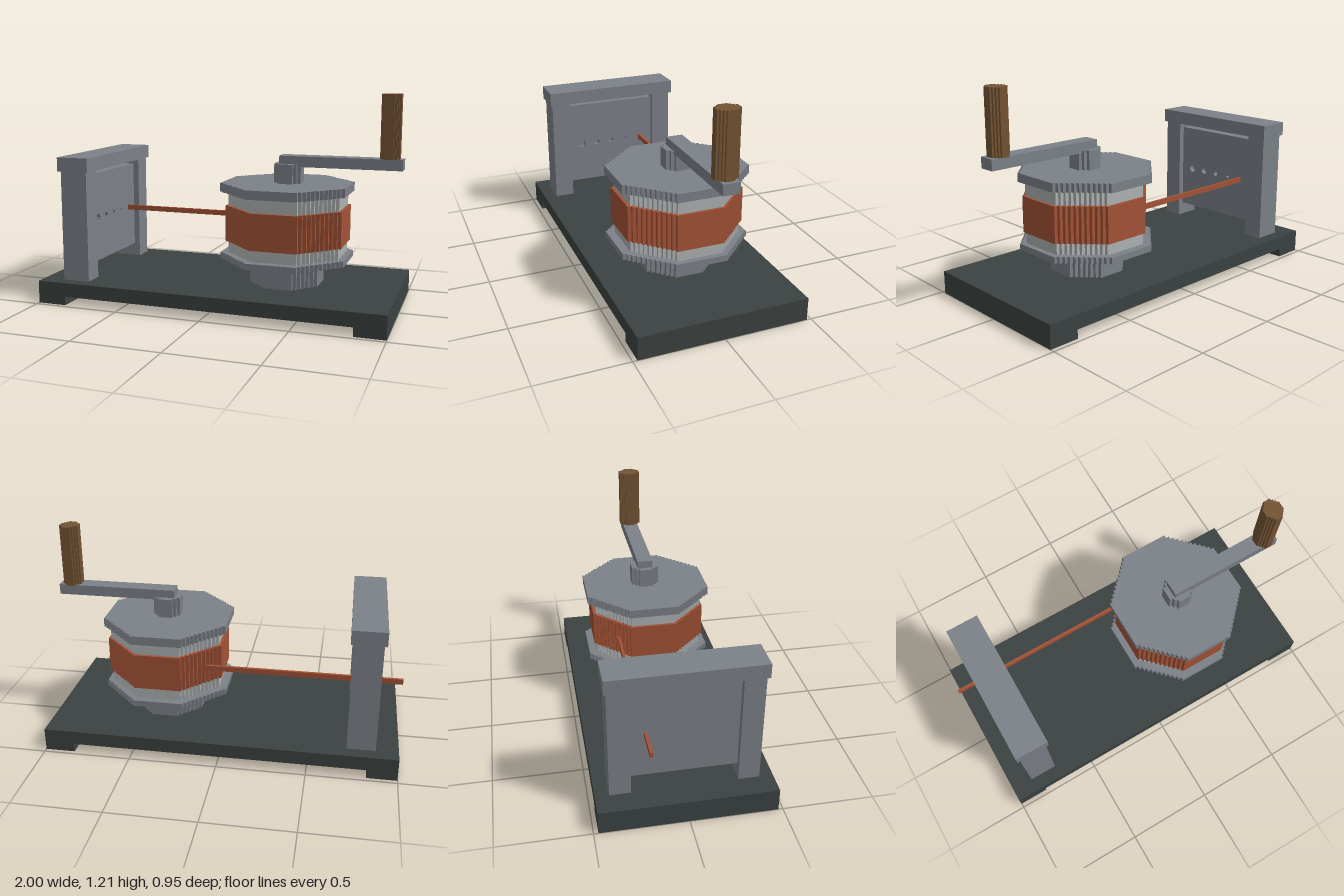
import * as THREE from 'three';

const mat = (name, color) => {
  const m = new THREE.MeshStandardMaterial({ color });
  m.name = name;
  return m;
};

export function createModel() {
  const darkIron = mat('dark iron', 0x3b4241);
  const steel = mat('steel grey', 0x7c8188);
  const paleSteel = mat('pale steel', 0xadb1b1);
  const copper = mat('copper', 0xa35236);
  const wood = mat('wood', 0x745334);

  const model = new THREE.Group();
  model.name = 'wireDrawingBench';

  const add = (name, geometry, material) => {
    const mesh = new THREE.Mesh(geometry, material);
    mesh.name = name;
    model.add(mesh);
    return mesh;
  };

  // Box given by its limits on each axis
  const box = (name, material, x0, x1, y0, y1, z0, z1) =>
    add(name, new THREE.BoxGeometry(x1 - x0, y1 - y0, z1 - z0), material)
      .position.set((x0 + x1) / 2, (y0 + y1) / 2, (z0 + z1) / 2);

  // Upright octagonal prism whose diagonal sides are cut into small steps
  const steppedOctagon = (name, material, cx, rx, rz, y0, y1, steps, flat = 0.41) => {
    const quarter = [];
    for (let i = 0; i <= steps; i++) {
      const x = rx * (1 - (1 - flat) * i / steps);
      const z = rz * (flat + (1 - flat) * i / steps);
      quarter.push([x, z]);
      if (i < steps) quarter.push([x - rx * (1 - flat) / steps, z]);
    }
    const back = [...quarter].reverse();
    const outline = [
      ...quarter,
      ...back.map(([x, z]) => [-x, z]),
      ...quarter.map(([x, z]) => [-x, -z]),
      ...back.map(([x, z]) => [x, -z]),
    ].map(([x, z]) => new THREE.Vector2(x, z));
    const geometry = new THREE.ExtrudeGeometry(new THREE.Shape(outline), { depth: y1 - y0, bevelEnabled: false });
    geometry.rotateX(-Math.PI / 2);
    add(name, geometry, material).position.set(cx, y0, 0);
  };

  // Base plate on two end feet
  box('basePlate', darkIron, -1, 1, 0.05, 0.13, -0.475, 0.475);
  box('leftFoot', darkIron, 0.83, 1, 0, 0.05, -0.475, 0.475);
  box('rightFoot', darkIron, -1, -0.83, 0, 0.05, -0.475, 0.475);

  // Die stand: two posts and a cap
  box('frontPost', steel, -0.875, -0.715, 0.13, 0.765, 0.285, 0.4);
  box('backPost', steel, -0.875, -0.715, 0.13, 0.765, -0.4, -0.285);
  box('standCap', steel, -0.89, -0.7, 0.765, 0.845, -0.413, 0.413);

  // Die plate: solid backing and a face with a row of shrinking holes
  box('diePlateBacking', steel, -0.84, -0.785, 0.21, 0.735, -0.285, 0.285);
  const face = new THREE.Shape([
    new THREE.Vector2(-0.285, 0.21), new THREE.Vector2(0.285, 0.21),
    new THREE.Vector2(0.285, 0.735), new THREE.Vector2(-0.285, 0.735),
  ]);
  for (let i = 0; i < 4; i++) {
    const hole = new THREE.Path();
    hole.absarc(-0.2 + i * 0.1, 0.465, 0.025 - i * 0.005, 0, Math.PI * 2, true);
    face.holes.push(hole);
  }
  const faceGeometry = new THREE.ExtrudeGeometry(face, { depth: 0.035, bevelEnabled: false, curveSegments: 4 });
  faceGeometry.rotateY(Math.PI / 2);
  add('diePlateFace', faceGeometry, steel).position.x = -0.785;

  // Wire running through the last die to the drum
  box('wire', copper, -1, 0.14, 0.45, 0.48, -0.209, -0.193);

  // Winding drum
  const cx = 0.355;
  steppedOctagon('pedestal', steel, cx, 0.198, 0.205, 0.13, 0.27, 6);
  steppedOctagon('lowerFlange', steel, cx, 0.355, 0.366, 0.27, 0.305, 11);
  steppedOctagon('drumBarrel', paleSteel, cx + 0.005, 0.318, 0.32, 0.305, 0.655, 10);
  steppedOctagon('wireCoil', copper, cx + 0.005, 0.333, 0.335, 0.37, 0.575, 10);
  steppedOctagon('upperFlange', steel, cx, 0.355, 0.366, 0.655, 0.705, 11);

  // Crank with upright wooden grip
  steppedOctagon('crankHub', steel, 0.362, 0.077, 0.08, 0.705, 0.815, 2, 0.5);
  box('crankArm', steel, 0.315, 1, 0.8, 0.86, -0.047, 0.045);
  steppedOctagon('handleGrip', wood, 0.927, 0.053, 0.063, 0.86, 1.21, 3, 0.4);

  return model;
}
